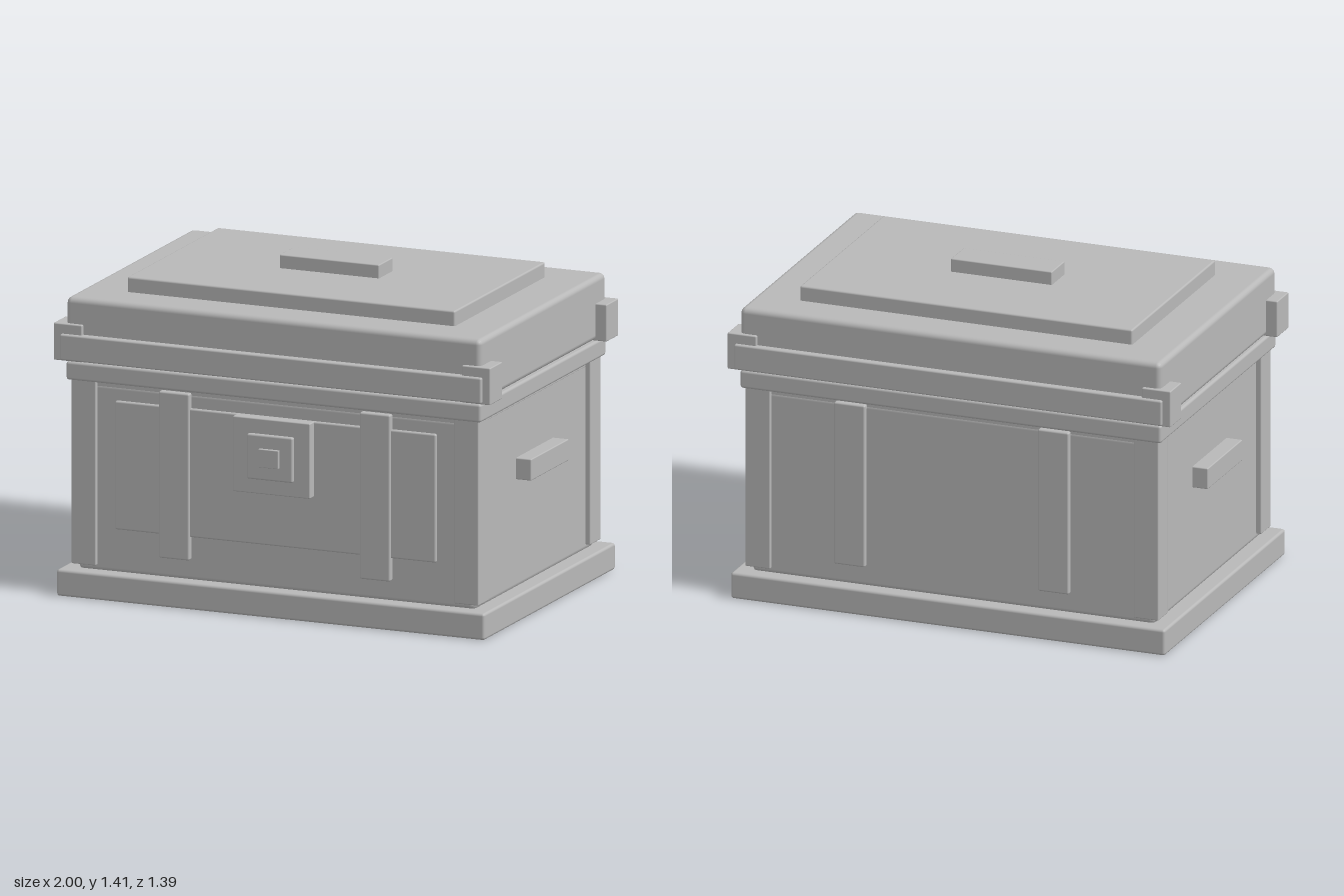
import * as THREE from 'three';
import { RoundedBoxGeometry } from 'three/addons/geometries/RoundedBoxGeometry.js';

export function createModel() {
  const chest = new THREE.Group();
  chest.name = 'chest';
  const grey = new THREE.MeshStandardMaterial({ color: 0xb8b8b8 });
  grey.name = 'plain grey';

  // Box given by its limits on each axis, with softened edges
  function block(name, [x0, x1], [y0, y1], [z0, z1], bevel = 0.005) {
    const geometry = new RoundedBoxGeometry(x1 - x0, y1 - y0, z1 - z0, 2, bevel);
    const mesh = new THREE.Mesh(geometry, grey);
    mesh.position.set((x0 + x1) / 2, (y0 + y1) / 2, (z0 + z1) / 2);
    mesh.name = name;
    chest.add(mesh);
  }
  // Limits along x, mirrored when side is -1
  const span = (side, a, b) => (side > 0 ? [a, b] : [-b, -a]);

  // Plinth, body and rim
  block('base', [-0.98, 0.98], [0, 0.115], [-0.695, 0.677], 0.012);
  block('body', [-0.91, 0.91], [0.105, 0.925], [-0.632, 0.612], 0.025);
  block('rim', [-0.95, 0.95], [0.93, 1.01], [-0.665, 0.647], 0.012);
  block('rimSeam', [-0.91, 0.91], [0.9, 1.05], [-0.63, 0.61]);

  // Lid with raised panel and grip
  block('lid', [-0.95, 0.95], [1.015, 1.287], [-0.665, 0.645], 0.024);
  block('lidPanel', [-0.75, 0.75], [1.27, 1.352], [-0.485, 0.46], 0.008);
  block('lidGrip', [-0.228, 0.228], [1.34, 1.41], [-0.085, 0.062]);

  // Bands along the lower edge of the lid
  block('frontLidBand', [-0.965, 0.965], [1.02, 1.132], [0.62, 0.678], 0.008);
  block('backLidBand', [-0.965, 0.965], [1.02, 1.132], [-0.695, -0.64], 0.008);

  for (const side of [1, -1]) {
    // Corner posts and lid corner caps
    block('frontPost', span(side, 0.82, 0.933), [0.135, 0.935], [0.52, 0.63]);
    block('backPost', span(side, 0.82, 0.933), [0.135, 0.935], [-0.648, -0.538]);
    block('frontLidCorner', span(side, 0.87, 1), [1.015, 1.175], [0.533, 0.662]);
    block('backLidCorner', span(side, 0.87, 1), [1.015, 1.175], [-0.68, -0.555]);

    // Vertical straps
    block('frontStrap', span(side, 0.39, 0.53), [0.2, 0.92], [0.59, 0.637], 0.008);
    block('backStrap', span(side, 0.39, 0.53), [0.2, 0.92], [-0.655, -0.61], 0.008);

    // Side handle
    block('sideHandle', span(side, 0.89, 0.98), [0.58, 0.673], [-0.205, 0.187]);
  }

  // Front panel and stepped lock
  block('frontPanel', [-0.735, 0.735], [0.3, 0.855], [0.59, 0.626], 0.008);
  block('lockPlate', [-0.177, 0.177], [0.53, 0.855], [0.6, 0.667]);
  block('lockBoss', [-0.105, 0.105], [0.595, 0.79], [0.64, 0.686], 0.008);
  block('lockButton', [-0.046, 0.046], [0.653, 0.732], [0.66, 0.7], 0.003);

  return chest;
}
